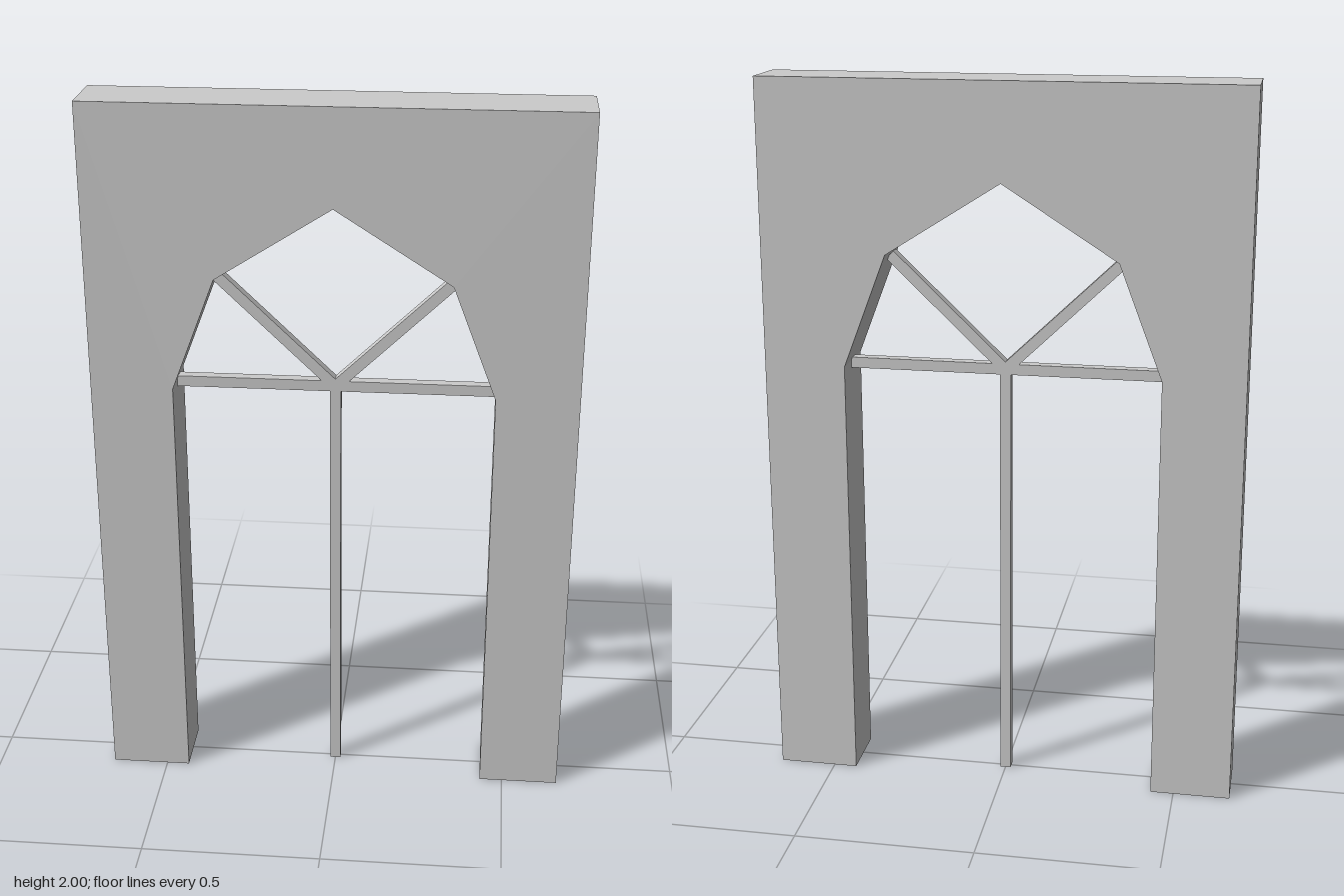
import * as THREE from 'three';

const material = new THREE.MeshStandardMaterial({ color: 0xcccccc, flatShading: true });

const HALF_WIDTH = 0.66, HEIGHT = 2, DEPTH = 0.175;
const BAR = 0.03;
// Right half of the opening, from the floor up to the arch peak
const OPENING = [[0.435, 0], [0.435, 1.22], [0.315, 1.535], [0, 1.735]];
const HUB = new THREE.Vector2(0, 1.215);

// Square bar between two points in the plane z = 0
function bar(name, a, b) {
  const mesh = new THREE.Mesh(new THREE.BoxGeometry(a.distanceTo(b), BAR, BAR), material);
  mesh.position.set((a.x + b.x) / 2, (a.y + b.y) / 2, 0);
  mesh.rotation.z = Math.atan2(b.y - a.y, b.x - a.x);
  mesh.name = name;
  return mesh;
}

export function createModel() {
  const group = new THREE.Group();
  group.name = 'archedDoorway';

  // Wall with a faceted arch opening down to the floor
  const left = OPENING.slice(0, -1).map(([x, y]) => [-x, y]).reverse();
  const outline = [
    [HALF_WIDTH, 0], [HALF_WIDTH, HEIGHT], [-HALF_WIDTH, HEIGHT], [-HALF_WIDTH, 0],
    ...left.reverse(), ...OPENING.slice().reverse(),
  ];
  const shape = new THREE.Shape(outline.map(([x, y]) => new THREE.Vector2(x, y)));
  const geometry = new THREE.ExtrudeGeometry(shape, { depth: DEPTH, bevelEnabled: false });
  geometry.translate(0, 0, -DEPTH / 2);
  const wall = new THREE.Mesh(geometry, material);
  wall.name = 'archWall';
  group.add(wall);

  // Upright between the two door openings, and the crossbar above them
  group.add(bar('mullion', new THREE.Vector2(0, 0), HUB));
  group.add(bar('transom', new THREE.Vector2(-0.437, HUB.y), new THREE.Vector2(0.437, HUB.y)));

  // Fanlight spokes
  for (const side of [1, -1]) {
    group.add(bar(side > 0 ? 'leftSpoke' : 'rightSpoke', HUB, new THREE.Vector2(side * 0.319, 1.522)));
  }
  return group;
}
